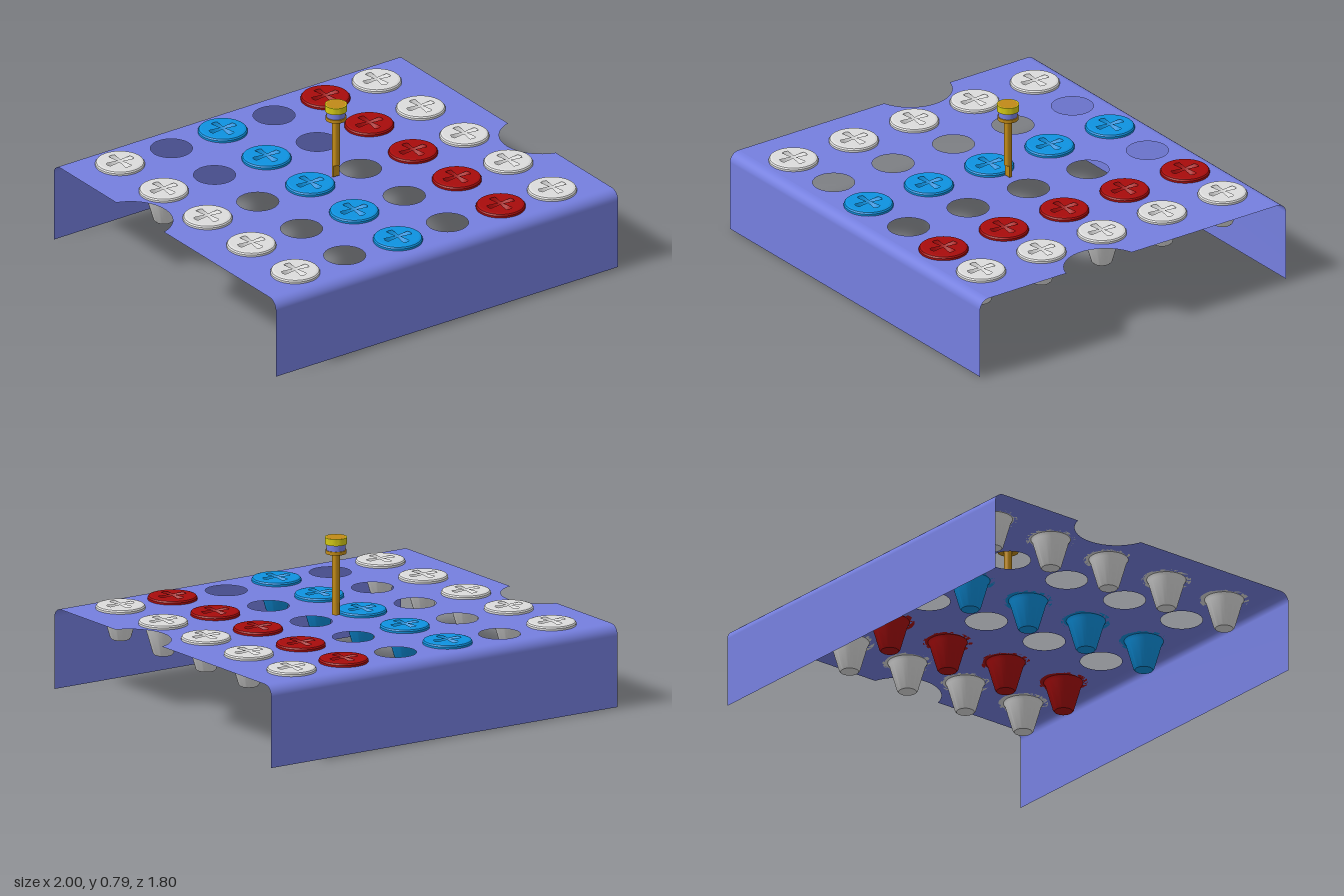
import * as THREE from 'three';
import { toCreasedNormals } from 'three/addons/utils/BufferGeometryUtils.js';

const paint = (name, color, side = THREE.FrontSide) => {
  const m = new THREE.MeshStandardMaterial({ color, side });
  m.name = name;
  return m;
};

const TOP = 0.4, HALF_Z = 0.9, BEND = 0.05;

function add(parent, name, geometry, material) {
  const mesh = new THREE.Mesh(geometry, material);
  mesh.name = name;
  parent.add(mesh);
  return mesh;
}

// Lathe a list of [radius, height] points, keeping hard edges sharp
function turned(points, sides = 40) {
  const profile = points.map(([r, y]) => new THREE.Vector2(r, y));
  return toCreasedNormals(new THREE.LatheGeometry(profile, sides), 0.6);
}

// Flat tray top with round holes and a notch in each side edge
function trayTop(columns, rows) {
  const edge = HALF_Z - BEND, r = 0.2, cx = 1.055;
  const a = Math.acos((cx - 1) / r);
  const s = new THREE.Shape();
  s.moveTo(-1, -edge);
  s.lineTo(1, -edge);
  s.absarc(cx, -0.2, r, Math.PI + a, Math.PI - a, true);
  s.lineTo(1, edge);
  s.lineTo(-1, edge);
  s.absarc(-cx, 0.2, r, a, -a, true);
  s.closePath();
  for (const x of columns) {
    for (const row of rows) {
      const hole = new THREE.Path();
      hole.absarc(x, -row, 0.1, 0, Math.PI * 2, true);
      s.holes.push(hole);
    }
  }
  return new THREE.ShapeGeometry(s, 20).rotateX(-Math.PI / 2).translate(0, TOP, 0);
}

// Rounded bend and the skirt hanging from it
function traySkirt() {
  const steps = 7;
  const g = new THREE.PlaneGeometry(2, 1, 1, steps + 1);
  const p = g.attributes.position;
  for (let i = 0; i < p.count; i++) {
    const row = Math.floor(i / 2);
    const t = Math.min(row / steps, 1) * Math.PI / 2;
    const y = row > steps ? 0 : TOP - BEND + BEND * Math.cos(t);
    p.setXYZ(i, p.getX(i), y, HALF_Z - BEND + BEND * Math.sin(t));
  }
  g.computeVertexNormals();
  return g;
}

// Cap face with a flared cross-shaped slot
function slottedFace() {
  const s = new THREE.Shape();
  s.absarc(0, 0, 0.102, 0, Math.PI * 2, false);
  const arm = [[0.007, -0.007], [0.069, -0.017], [0.074, 0], [0.069, 0.017]];
  const points = [];
  for (let k = 0; k < 4; k++) {
    for (const [x, y] of arm) {
      points.push(new THREE.Vector2(x, y).rotateAround(new THREE.Vector2(), k * Math.PI / 2));
    }
  }
  s.holes.push(new THREE.Path(points.reverse()));
  return new THREE.ShapeGeometry(s, 20).rotateX(-Math.PI / 2).translate(0, 0.42, 0);
}

export function createModel() {
  const model = new THREE.Group();
  model.name = 'trayWithCups';

  const trayBlue = paint('trayBlue', 0x757fdf, THREE.DoubleSide);
  const white = paint('cupWhite', 0xdcdcdc);
  const blue = paint('cupBlue', 0x0e92e0);
  const red = paint('cupRed', 0xa80c0c);
  const gold = paint('pinGold', 0xc08a18);
  const yellow = paint('pinYellow', 0xd2c814);

  // Folded sheet tray
  const tray = new THREE.Group();
  tray.name = 'tray';
  model.add(tray);
  const columns = [-0.75, -0.45, -0.15, 0.15, 0.45, 0.75];
  const holeRows = [-0.71, -0.36, -0.01, 0.345, 0.695];
  const skirt = traySkirt();
  add(tray, 'trayTop', trayTop(columns, holeRows), trayBlue);
  add(tray, 'frontSkirt', skirt, trayBlue);
  add(tray, 'backSkirt', skirt, trayBlue).rotation.y = Math.PI;

  // Cups with flanged rims; the third value of each column is its colour
  const body = turned([[0, 0.25], [0.043, 0.25], [0.05, 0.258], [0.086, 0.385],
    [0.094, 0.4], [0.118, 0.4], [0.118, 0.41], [0.113, 0.417], [0.102, 0.42]]);
  const funnel = turned([[0.08, 0.4195], [0.01, 0.3], [0, 0.3]], 24);
  const face = slottedFace();
  const cupColours = [white, null, blue, null, red, white];
  columns.forEach((x, c) => {
    const colour = cupColours[c];
    if (!colour) return;
    for (let r = -2; r <= 2; r++) {
      const cup = new THREE.Group();
      cup.name = 'cup';
      cup.position.set(x, 0, r * 0.355);
      add(cup, 'cupBody', body, colour);
      add(cup, 'cupFace', face, colour);
      add(cup, 'slotFunnel', funnel, colour);
      model.add(cup);
    }
  });

  // Upright pin: shaft with a half-cut tip and a banded head
  const pin = new THREE.Group();
  pin.name = 'pin';
  model.add(pin);
  add(pin, 'shaft', turned([[0, 0.47], [0.019, 0.47], [0.019, 0.715]], 24), gold);
  const half = new THREE.Shape();
  half.absarc(0, 0, 0.019, -0.25, Math.PI + 0.25, false);
  half.closePath();
  const tip = new THREE.ExtrudeGeometry(half, { depth: 0.06, bevelEnabled: false, curveSegments: 16 });
  add(pin, 'shaftTip', toCreasedNormals(tip.rotateX(-Math.PI / 2).translate(0, 0.41, 0), 0.6), gold);
  add(pin, 'headBase', turned([[0, 0.71], [0.05, 0.71], [0.05, 0.727], [0, 0.727]], 32), gold);
  add(pin, 'headBand', turned([[0.045, 0.727], [0.045, 0.757]], 32), trayBlue);
  add(pin, 'headRim', turned([[0, 0.757], [0.053, 0.757], [0.053, 0.79], [0.047, 0.79]], 32), yellow);
  add(pin, 'headTop', turned([[0.047, 0.79], [0, 0.79]], 32), gold);

  return model;
}
